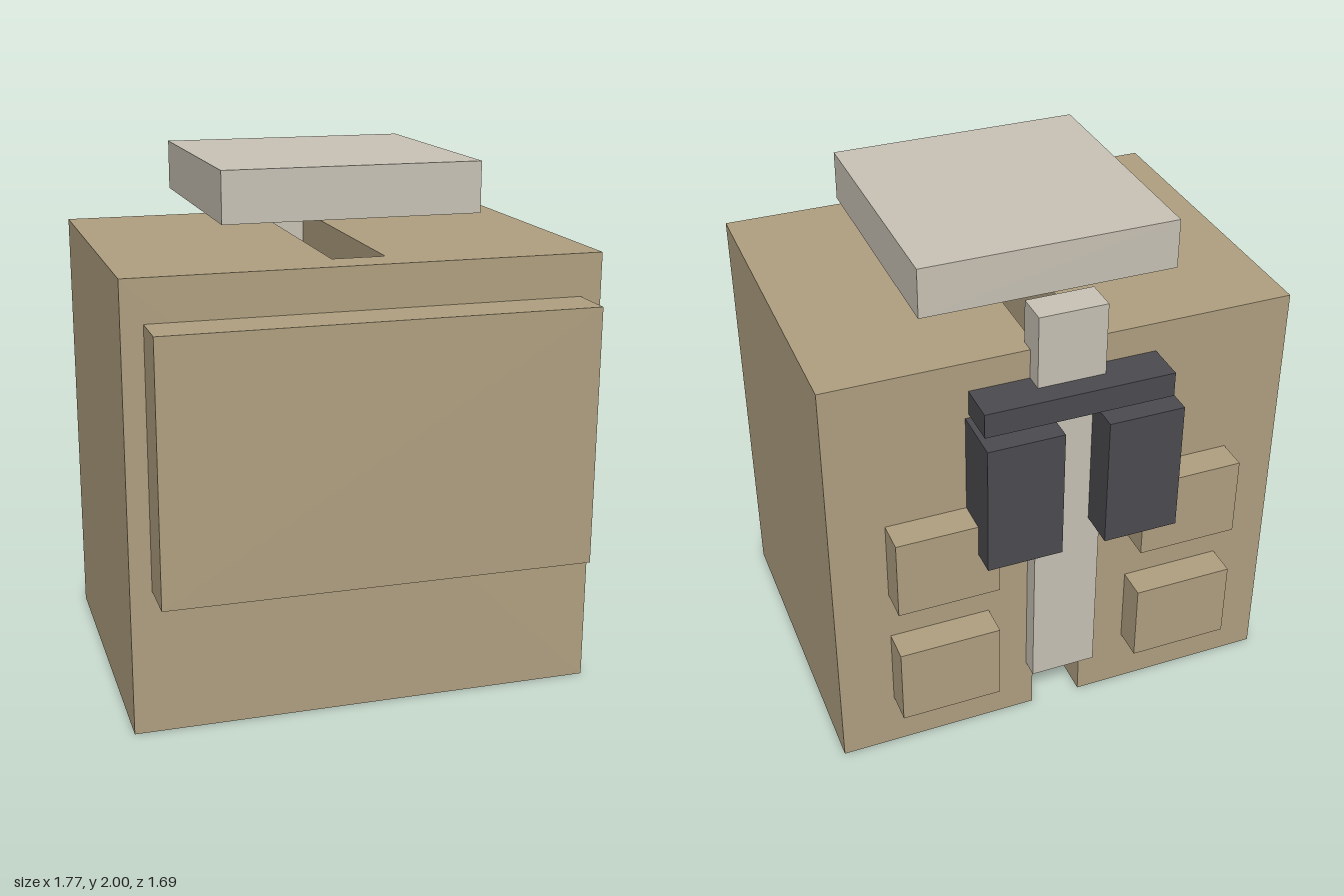
import * as THREE from 'three';

export function createModel() {
  const model = new THREE.Group();
  const mat = (name, color) => Object.assign(new THREE.MeshStandardMaterial({ color }), { name });
  const tan = mat('tan', 0xb0a080);
  const pale = mat('pale grey', 0xc9c3b5);
  const dark = mat('dark grey', 0x4c4b50);

  // Box given by its limits on each axis
  function box(name, material, [x0, x1], [y0, y1], [z0, z1]) {
    const mesh = new THREE.Mesh(new THREE.BoxGeometry(x1 - x0, y1 - y0, z1 - z0), material);
    mesh.position.set((x0 + x1) / 2, (y0 + y1) / 2, (z0 + z1) / 2);
    mesh.name = name;
    model.add(mesh);
  }

  // Main block: a U-shaped plan with a vertical slot open at the back
  const plan = new THREE.Shape([
    [-0.885, -0.66], [0.885, -0.66], [0.885, 0.63], [0.1, 0.63],
    [0.1, -0.515], [-0.1, -0.515], [-0.1, 0.63], [-0.885, 0.63],
  ].map(([x, y]) => new THREE.Vector2(x, y)));
  const bodyGeometry = new THREE.ExtrudeGeometry(plan, { depth: 1.68, bevelEnabled: false });
  bodyGeometry.rotateX(-Math.PI / 2);
  const body = new THREE.Mesh(bodyGeometry, tan);
  body.name = 'body';
  model.add(body);

  // Front panel, reaching back into the slot
  box('frontPanel', tan, [-0.805, 0.805], [0.55, 1.52], [0.42, 0.845]);

  // Floating top plate and the spine bar at the back
  box('topPlate', pale, [-0.485, 0.485], [1.81, 2], [-0.505, 0.46]);
  box('spine', pale, [-0.128, 0.128], [0.22, 1.845], [-0.7, -0.575]);

  // Dark crossbar with a hanging block and two pads on each side
  box('crossbar', dark, [-0.355, 0.355], [1.47, 1.565], [-0.785, -0.6]);
  for (const side of [-1, 1]) {
    const span = (a, b) => (side > 0 ? [a, b] : [-b, -a]);
    box('hangingBlock', dark, span(0.083, 0.368), [0.94, 1.455], [-0.845, -0.6]);
    for (const y of [0.23, 0.748]) {
      box('backPad', tan, span(0.285, 0.675), [y, y + 0.318], [-0.75, -0.6]);
    }
  }
  return model;
}
